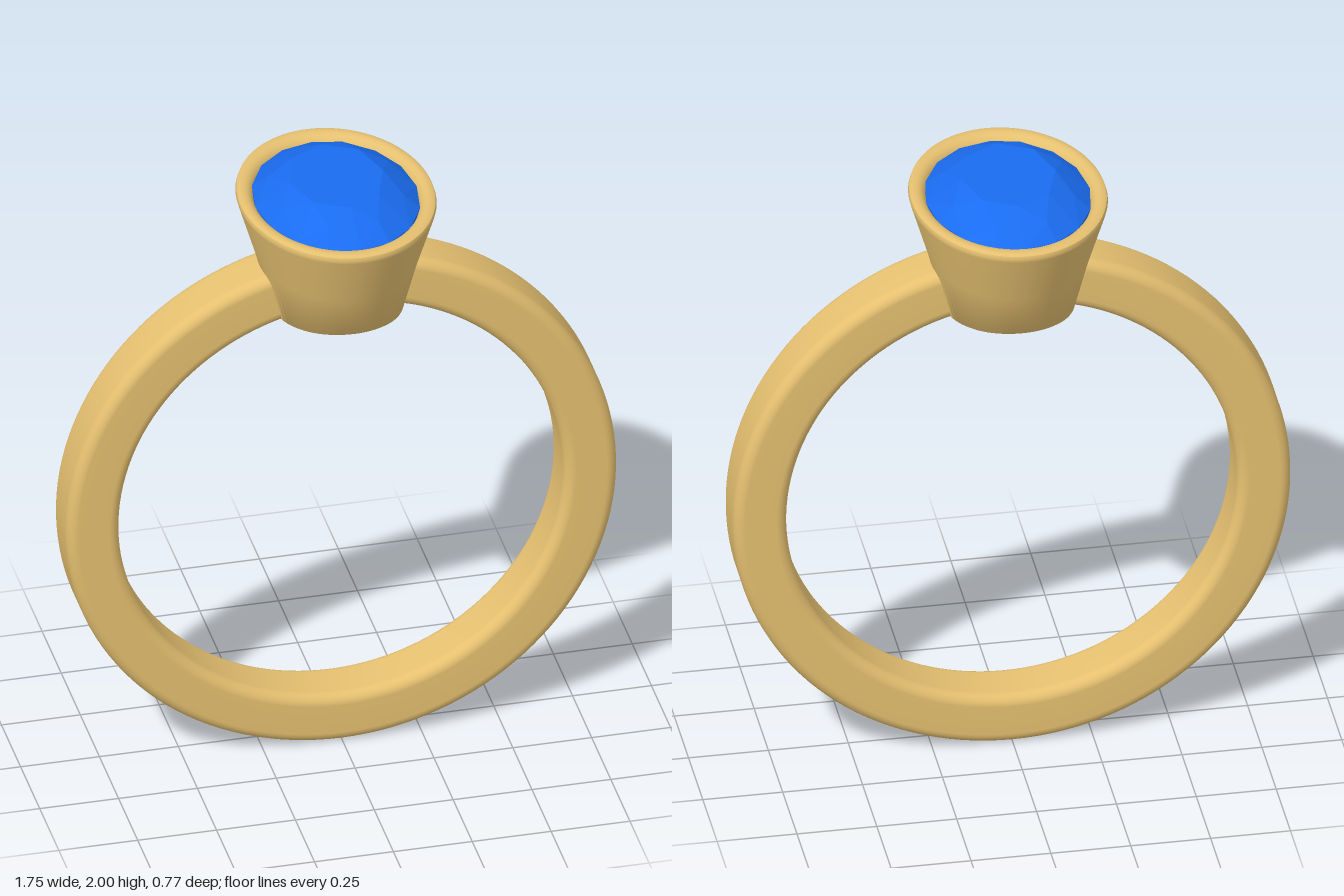
import * as THREE from 'three';
import { toCreasedNormals } from 'three/addons/utils/BufferGeometryUtils.js';
import { ConvexGeometry } from 'three/addons/geometries/ConvexGeometry.js';

const CENTER_Y = 0.873;
const INNER_R = 0.705;
const OUTER_R = 0.873;
const HALF_WIDTH = 0.093;
const OVAL = 1.27; // length to width of the setting and stone

const gold = new THREE.MeshStandardMaterial({ color: 0xe5c070 });
const blue = new THREE.MeshStandardMaterial({ color: 0x1a6cf0, flatShading: true });

function named(name, geometry, material) {
  const mesh = new THREE.Mesh(geometry, material);
  mesh.name = name;
  return mesh;
}

// Finger band: rounded rectangle swept round z, open where the setting sits
function createBand() {
  const corner = 0.035, steps = 5;
  const points = [new THREE.Vector2(OUTER_R, 0)];
  const corners = [
    [OUTER_R - corner, HALF_WIDTH - corner, 0],
    [INNER_R + corner, HALF_WIDTH - corner, 1],
    [INNER_R + corner, -HALF_WIDTH + corner, 2],
    [OUTER_R - corner, -HALF_WIDTH + corner, 3],
  ];
  for (const [cx, cy, quarter] of corners) {
    for (let i = 0; i <= steps; i++) {
      const a = (quarter + i / steps) * Math.PI / 2;
      points.push(new THREE.Vector2(cx + corner * Math.cos(a), cy + corner * Math.sin(a)));
    }
  }
  points.push(points[0].clone());
  const gap = 0.22;
  const geometry = new THREE.LatheGeometry(points, 128, Math.PI + gap, 2 * Math.PI - 2 * gap);
  geometry.rotateX(Math.PI / 2);
  const band = named('band', geometry, gold);
  band.position.y = CENTER_Y;
  return band;
}

// Oval tapered cup with a rounded rim, its underside curved to follow the finger hole
function createSetting() {
  const baseY = CENTER_Y + INNER_R;
  const profile = [
    [0, 1.655], [0.06, 1.65], [0.095, 1.63], [0.108, 1.6], [0.113, baseY + 0.008],
    [0.125, baseY], [0.15, baseY], [0.175, baseY], [0.197, baseY], [0.205, baseY + 0.008],
    [0.25, 1.74], [0.302, 1.915], [0.305, 1.927], [0.302, 1.937], [0.294, 1.942],
    [0.28, 1.942], [0.268, 1.938], [0.257, 1.928], [0.252, 1.915],
    [0.25, 1.88], [0.12, 1.7], [0, 1.69],
  ].map(([r, y]) => new THREE.Vector2(r, y));
  const geometry = new THREE.LatheGeometry(profile, 96);
  const pos = geometry.attributes.position;
  for (let i = 0; i < pos.count; i++) {
    const x = pos.getX(i), y = pos.getY(i);
    if (y < baseY + 0.03) pos.setY(i, y + Math.sqrt(INNER_R ** 2 - x * x) - INNER_R);
  }
  geometry.scale(1, 1, OVAL);
  return named('setting', toCreasedNormals(geometry, 0.7), gold);
}

// Oval brilliant-cut stone: table, crown, girdle, pavilion and culet
function createStone() {
  const halfWidth = 0.256;
  const rings = [ // radius, height, corner count, turn
    [0.58, 2.0, 8, 0],
    [0.8, 1.967, 8, Math.PI / 8],
    [1, 1.925, 16, 0],
    [1, 1.912, 16, 0],
    [0.5, 1.81, 8, Math.PI / 8],
  ];
  const points = [new THREE.Vector3(0, 1.72, 0)];
  for (const [r, y, n, turn] of rings) {
    for (let i = 0; i < n; i++) {
      const a = turn + i / n * Math.PI * 2;
      points.push(new THREE.Vector3(
        r * halfWidth * Math.cos(a), y, r * halfWidth * OVAL * Math.sin(a)));
    }
  }
  return named('stone', new ConvexGeometry(points), blue);
}

export function createModel() {
  const ring = new THREE.Group();
  ring.name = 'ring';
  ring.add(createBand(), createSetting(), createStone());
  return ring;
}
